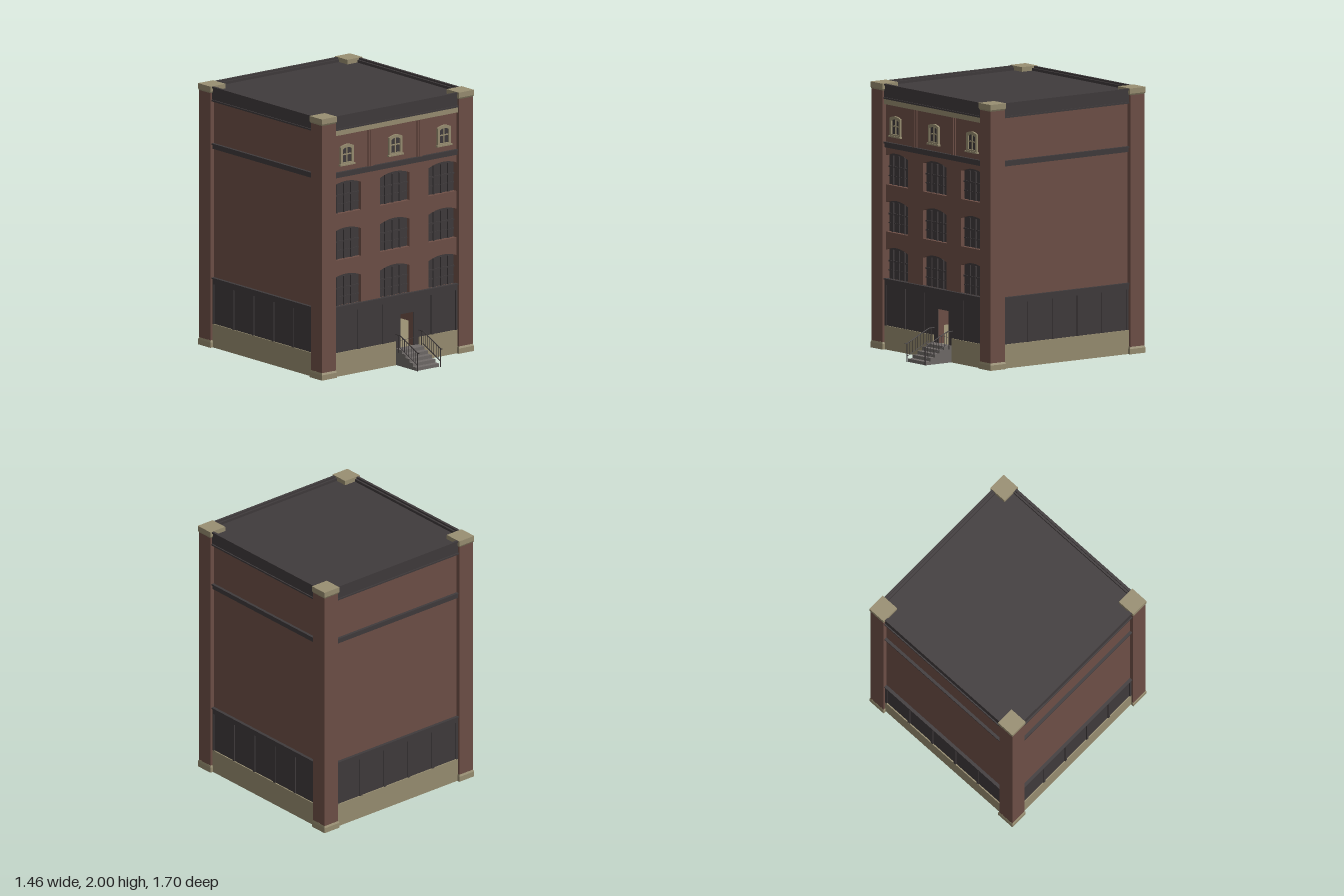
import * as THREE from 'three';

const mat = (name, color) => {
  const m = new THREE.MeshStandardMaterial({ color });
  m.name = name;
  return m;
};

export function createModel() {
  const brick = mat('brick', 0x6f5047);
  const stone = mat('stone', 0x998f72);
  const iron = mat('dark metal', 0x403b3c);
  const concrete = mat('concrete', 0x706b69);

  const model = new THREE.Group();
  model.name = 'building';
  const CZ = -0.123;            // centre of the main block in z
  const H = 0.69;               // half width of the walls
  const FRONT = CZ + H;

  const add = (name, geo, material, parent = model) => {
    const mesh = new THREE.Mesh(geo, material);
    mesh.name = name;
    parent.add(mesh);
    return mesh;
  };
  const group = (name) => {
    const g = new THREE.Group();
    g.name = name;
    model.add(g);
    return g;
  };
  // box given by its extents
  const box = (name, material, x0, x1, y0, y1, z0, z1, parent) => {
    const geo = new THREE.BoxGeometry(x1 - x0, y1 - y0, z1 - z0);
    geo.translate((x0 + x1) / 2, (y0 + y1) / 2, (z0 + z1) / 2);
    return add(name, geo, material, parent);
  };
  const rect = (C, x0, x1, y0, y1) => {
    const s = new C();
    s.moveTo(x0, y0).lineTo(x1, y0).lineTo(x1, y1).lineTo(x0, y1).closePath();
    return s;
  };
  // opening with a shallow arched head
  const arch = (C, cx, w, y0, spring, rise) => {
    const s = new C();
    s.moveTo(cx - w / 2, y0).lineTo(cx + w / 2, y0).lineTo(cx + w / 2, spring);
    s.quadraticCurveTo(cx, spring + 2 * rise, cx - w / 2, spring).closePath();
    return s;
  };
  const extrude = (shape, depth, z) => {
    const g = new THREE.ExtrudeGeometry(shape, { depth, bevelEnabled: false, curveSegments: 8 });
    return g.translate(0, 0, z);
  };
  // horizontal band running all round the block
  const ring = (name, material, y0, y1, out, inner = H - 0.01) => {
    const s = rect(THREE.Shape, -out, out, -out, out);
    s.holes.push(rect(THREE.Path, -inner, inner, -inner, inner));
    const g = extrude(s, y1 - y0, 0).rotateX(-Math.PI / 2);
    return add(name, g.translate(0, y0, CZ), material);
  };

  // Walls: hollow block with openings in the front
  const T = 0.05;
  const cols = [-0.465, 0, 0.465];
  const rows = [0.53, 0.885, 1.24];
  const door = [0.05, 0.175, 0.12, 0.38];
  const frontShape = rect(THREE.Shape, -H, H, 0, 1.95);
  frontShape.holes.push(rect(THREE.Path, ...door));
  for (const y of rows) for (const x of cols) {
    frontShape.holes.push(arch(THREE.Path, x, 0.285, y, y + 0.213, 0.03));
  }
  add('frontWall', extrude(frontShape, T, FRONT - T), brick);
  box('backWall', brick, -H, H, 0, 1.95, CZ - H, CZ - H + T);
  for (const s of [-1, 1]) {
    const x = s * (H - T / 2);
    box('sideWall', brick, x - T / 2, x + T / 2, 0, 1.95, CZ - H + T, FRONT - T);
  }
  box('floor', stone, -H + T, H - T, 0.105, 0.12, CZ - H + T, FRONT - T);
  box('doorSill', stone, door[0], door[1], 0.105, 0.121, FRONT - T, FRONT);

  // Arched windows
  for (const y of rows) for (const x of cols) {
    const w = group('archedWindow');
    const z = FRONT - 0.04;
    add('pane', extrude(arch(THREE.Shape, x, 0.285, y, y + 0.213, 0.03), 0.008, z), iron, w);
    for (const dx of [-0.07, 0, 0.07]) {
      box('mullion', iron, x + dx - 0.006, x + dx + 0.006, y, y + 0.22, z, z + 0.02, w);
    }
    box('meetingRail', iron, x - 0.142, x + 0.142, y + 0.127, y + 0.139, z, z + 0.017, w);
    box('lowerBar', iron, x - 0.142, x + 0.142, y + 0.06, y + 0.068, z, z + 0.014, w);
  }

  // Small top windows with stone surrounds
  for (const x of cols) {
    const w = group('topWindow');
    const s = arch(THREE.Shape, x, 0.125, 1.615, 1.75, 0.016);
    s.holes.push(arch(THREE.Path, x, 0.086, 1.63, 1.73, 0.014));
    add('surround', extrude(s, 0.015, FRONT), stone, w);
    add('pane', extrude(arch(THREE.Shape, x, 0.09, 1.628, 1.732, 0.014), 0.004, FRONT), iron, w);
    box('sill', stone, x - 0.072, x + 0.072, 1.606, 1.618, FRONT, FRONT + 0.022, w);
    box('verticalBar', stone, x - 0.005, x + 0.005, 1.63, 1.742, FRONT, FRONT + 0.01, w);
    box('crossBar', stone, x - 0.043, x + 0.043, 1.685, 1.694, FRONT, FRONT + 0.01, w);
  }

  // Pilasters between the top windows, and the stone band above
  for (const x of [-0.235, 0.235]) {
    box('pilaster', brick, x - 0.026, x + 0.026, 1.56, 1.845, FRONT, FRONT + 0.01);
    box('pilasterFace', brick, x - 0.012, x + 0.012, 1.56, 1.845, FRONT, FRONT + 0.018);
  }
  box('stoneBand', stone, -0.6, 0.6, 1.845, 1.887, FRONT, FRONT + 0.018);

  // Plinth, open at the front where the stairs meet the wall
  const P = 0.015;
  box('plinth', stone, -0.62, 0.0, 0, 0.18, FRONT, FRONT + P);
  box('plinth', stone, 0.225, 0.62, 0, 0.18, FRONT, FRONT + P);
  box('plinth', stone, -0.62, 0.62, 0, 0.18, CZ - H - P, CZ - H);
  for (const s of [-1, 1]) {
    const x = s * (H + P / 2);
    box('plinth', stone, x - P / 2, x + P / 2, 0, 0.18, CZ - 0.62, CZ + 0.62);
  }

  // Ground floor panelling with posts
  const panel = rect(THREE.Shape, -0.62, 0.62, 0.18, 0.49);
  panel.holes.push(rect(THREE.Path, door[0], door[1], 0.181, door[3]));
  add('frontPanel', extrude(panel, 0.006, FRONT), iron);
  box('doorSidePanel', iron, 0.0, door[0], 0.1, 0.182, FRONT, FRONT + 0.006);
  box('doorSidePanel', iron, door[1], 0.225, 0.1, 0.182, FRONT, FRONT + 0.006);
  for (const a of [0, 1, 2, 3]) {
    const side = group('panelledSide');
    side.position.z = CZ;
    side.rotation.y = a * Math.PI / 2;
    if (a > 0) box('panel', iron, -0.62, 0.62, 0.18, 0.49, H, H + 0.006, side);
    for (let i = 0; i < 6; i++) {
      const x = -0.585 + i * 0.234;
      if (a === 0 && i === 3) continue;
      box('post', iron, x - 0.01, x + 0.01, 0.18, 0.49, H, H + 0.014, side);
    }
  }

  // Ledges, parapet and roof
  ring('lowerLedge', iron, 0.485, 0.525, H + 0.015);
  ring('lowerLedgeLip', iron, 0.525, 0.535, H + 0.025);
  ring('upperLedge', iron, 1.52, 1.55, H + 0.014);
  ring('upperLedgeLip', iron, 1.55, 1.562, H + 0.022);
  ring('parapetFoot', iron, 1.885, 1.897, H + 0.025);
  ring('parapet', iron, 1.897, 1.985, H + 0.016);
  ring('parapetCoping', iron, 1.985, 1.998, H + 0.025, H + 0.005);
  box('roof', iron, -H, H, 1.95, 1.965, CZ - H, FRONT);

  // Corner piers with stone feet and caps
  const taper = (wBottom, wTop, h) =>
    new THREE.CylinderGeometry(wTop * Math.SQRT1_2, wBottom * Math.SQRT1_2, h, 4, 1)
      .rotateY(Math.PI / 4);
  for (const sx of [-1, 1]) for (const sz of [-1, 1]) {
    const pier = group('cornerPier');
    pier.position.set(sx * 0.657, 0, CZ + sz * 0.656);
    box('shaft', brick, -0.066, 0.066, 0.04, 1.95, -0.066, 0.066, pier);
    box('foot', stone, -0.0725, 0.0725, 0, 0.04, -0.0725, 0.0725, pier);
    add('footSlope', taper(0.145, 0.133, 0.015).translate(0, 0.0475, 0), stone, pier).material.flatShading = true;
    box('cap', stone, -0.0725, 0.0725, 1.96, 2, -0.0725, 0.0725, pier);
    add('capSlope', taper(0.133, 0.145, 0.012).translate(0, 1.954, 0), stone, pier);
  }

  // Stairs: stepped profile extruded across x
  const stairs = group('stairs');
  const N = 5, z0 = 0.82, run = 0.043, riser = 0.025;
  const profile = new THREE.Shape().moveTo(FRONT, 0).lineTo(z0, 0);
  for (let i = 0; i < N; i++) {
    profile.lineTo(z0 - i * run, (i + 1) * riser);
    profile.lineTo(i === N - 1 ? FRONT : z0 - (i + 1) * run, (i + 1) * riser);
  }
  profile.closePath();
  const steps = new THREE.ExtrudeGeometry(profile, { depth: 0.215, bevelEnabled: false });
  add('steps', steps.rotateY(-Math.PI / 2).translate(0.22, 0, 0), concrete, stairs);

  // Railings
  const bar = (name, x, a, b, r) => {
    const p = new THREE.Vector3(x, a[1], a[0]);
    const q = new THREE.Vector3(x, b[1], b[0]);
    const m = add(name, new THREE.CylinderGeometry(r, r, p.distanceTo(q), 6), iron, stairs);
    m.position.copy(p).add(q).multiplyScalar(0.5);
    m.quaternion.setFromUnitVectors(new THREE.Vector3(0, 1, 0), q.sub(p).normalize());
  };
  for (const x of [0.005, 0.225]) {
    const railY = (z) => 0.14 + (0.83 - z) * 0.46;
    bar('handrailEnd', x, [0.85, 0.14], [0.83, 0.14], 0.004);
    bar('handrail', x, [0.83, 0.14], [0.625, railY(0.625)], 0.004);
    bar('handrailTop', x, [0.625, railY(0.625)], [FRONT, railY(0.625)], 0.004);
    bar('lowerRail', x, [0.83, 0.045], [0.625, railY(0.625) - 0.095], 0.003);
    bar('newelPost', x, [0.83, 0], [0.83, 0.14], 0.005);
    bar('topPost', x, [0.605, 0.1], [0.605, 0.236], 0.004);
    for (let i = 1; i <= 8; i++) {
      const z = 0.83 - i * 0.0256;
      bar('baluster', x, [z, railY(z) - 0.095], [z, railY(z)], 0.002);
    }
  }
  return model;
}
